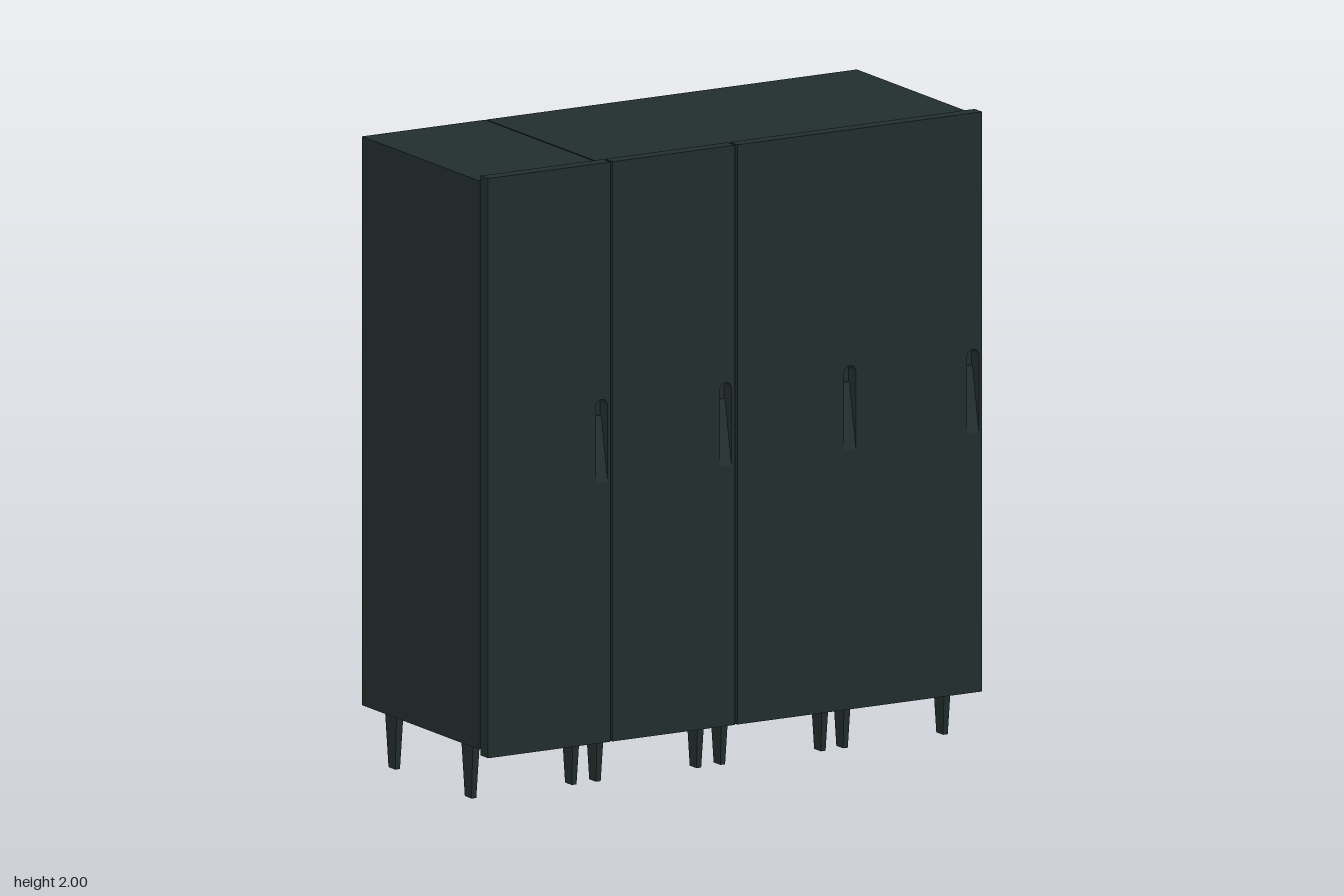
import * as THREE from 'three';

const darkPaint = new THREE.MeshStandardMaterial({ color: 0x222d2d });

const BACK = -0.375, SEAM = 0.33, FRONT = 0.375;
const BODY_BOTTOM = 0.18, BODY_TOP = 1.985;
const DOOR_BOTTOM = 0.16, DOOR_TOP = 2;
const GRIP = { half: 0.021, bottom: 0.985, bend: 1.19, top: 1.25 };

function add(parent, geometry, name, x = 0, y = 0, z = 0) {
  const mesh = new THREE.Mesh(geometry, darkPaint);
  mesh.name = name;
  mesh.position.set(x, y, z);
  parent.add(mesh);
  return mesh;
}

// Door panel with a round-topped hole for the grip
function doorGeometry(x0, x1, gripX) {
  const shape = new THREE.Shape();
  shape.moveTo(x0, DOOR_BOTTOM);
  shape.lineTo(x1, DOOR_BOTTOM);
  shape.lineTo(x1, DOOR_TOP);
  shape.lineTo(x0, DOOR_TOP);
  shape.closePath();
  const { half, bottom, top } = GRIP;
  const hole = new THREE.Path();
  hole.moveTo(gripX - half, bottom);
  hole.lineTo(gripX - half, top - half);
  hole.absarc(gripX, top - half, half, Math.PI, 0, true);
  hole.lineTo(gripX + half, bottom);
  hole.closePath();
  shape.holes.push(hole);
  return new THREE.ExtrudeGeometry(shape, { depth: FRONT - SEAM, bevelEnabled: false, curveSegments: 10 });
}

// Sloping floor of the grip, flush with the door at its lower end
function gripGeometry() {
  const shape = new THREE.Shape([
    new THREE.Vector2(SEAM, GRIP.bottom),
    new THREE.Vector2(FRONT, GRIP.bottom),
    new THREE.Vector2(SEAM + 0.006, GRIP.bend),
    new THREE.Vector2(SEAM, GRIP.bend),
  ]);
  const geometry = new THREE.ExtrudeGeometry(shape, { depth: GRIP.half * 2, bevelEnabled: false });
  geometry.rotateY(-Math.PI / 2);
  geometry.translate(GRIP.half, 0, 0);
  return geometry;
}

// Flat leg that narrows towards the floor
function legGeometry() {
  const geometry = new THREE.BoxGeometry(0.025, BODY_BOTTOM, 0.07);
  const p = geometry.attributes.position;
  for (let i = 0; i < p.count; i++) {
    if (p.getY(i) < 0) {
      p.setX(i, p.getX(i) * 0.68);
      p.setZ(i, p.getZ(i) * 0.58);
    }
  }
  geometry.translate(0, BODY_BOTTOM / 2, 0);
  geometry.computeVertexNormals();
  return geometry;
}

export function createModel() {
  const model = new THREE.Group();
  model.name = 'wardrobe';
  const grip = gripGeometry();
  const leg = legGeometry();

  // Cabinet span, door span, grip centre and leg positions of each unit
  const units = [
    { body: [-0.895, -0.451], door: [-0.888, -0.447], grip: -0.479, legs: [-0.853, -0.492] },
    { body: [-0.446, 0], door: [-0.44, 0.001], grip: -0.033, legs: [-0.405, -0.043] },
    { body: [0, 0.445], door: [0.009, 0.45], grip: 0.415, legs: [0.043, 0.405] },
    { body: [0.445, 0.888], door: [0.45, 0.891], grip: 0.858, legs: [0.485, 0.845] },
  ];

  units.forEach((u, i) => {
    const unit = new THREE.Group();
    unit.name = `unit${i + 1}`;
    model.add(unit);

    const [x0, x1] = u.body;
    add(unit, new THREE.BoxGeometry(x1 - x0, BODY_TOP - BODY_BOTTOM, SEAM - BACK), 'cabinet',
      (x0 + x1) / 2, (BODY_TOP + BODY_BOTTOM) / 2, (SEAM + BACK) / 2);
    add(unit, doorGeometry(u.door[0], u.door[1], u.grip), 'door', 0, 0, SEAM);
    add(unit, grip, 'gripRecess', u.grip);

    for (const x of u.legs) {
      add(unit, leg, 'frontLeg', x, 0, 0.21);
      add(unit, leg, 'backLeg', x, 0, -0.25);
    }
  });
  return model;
}
